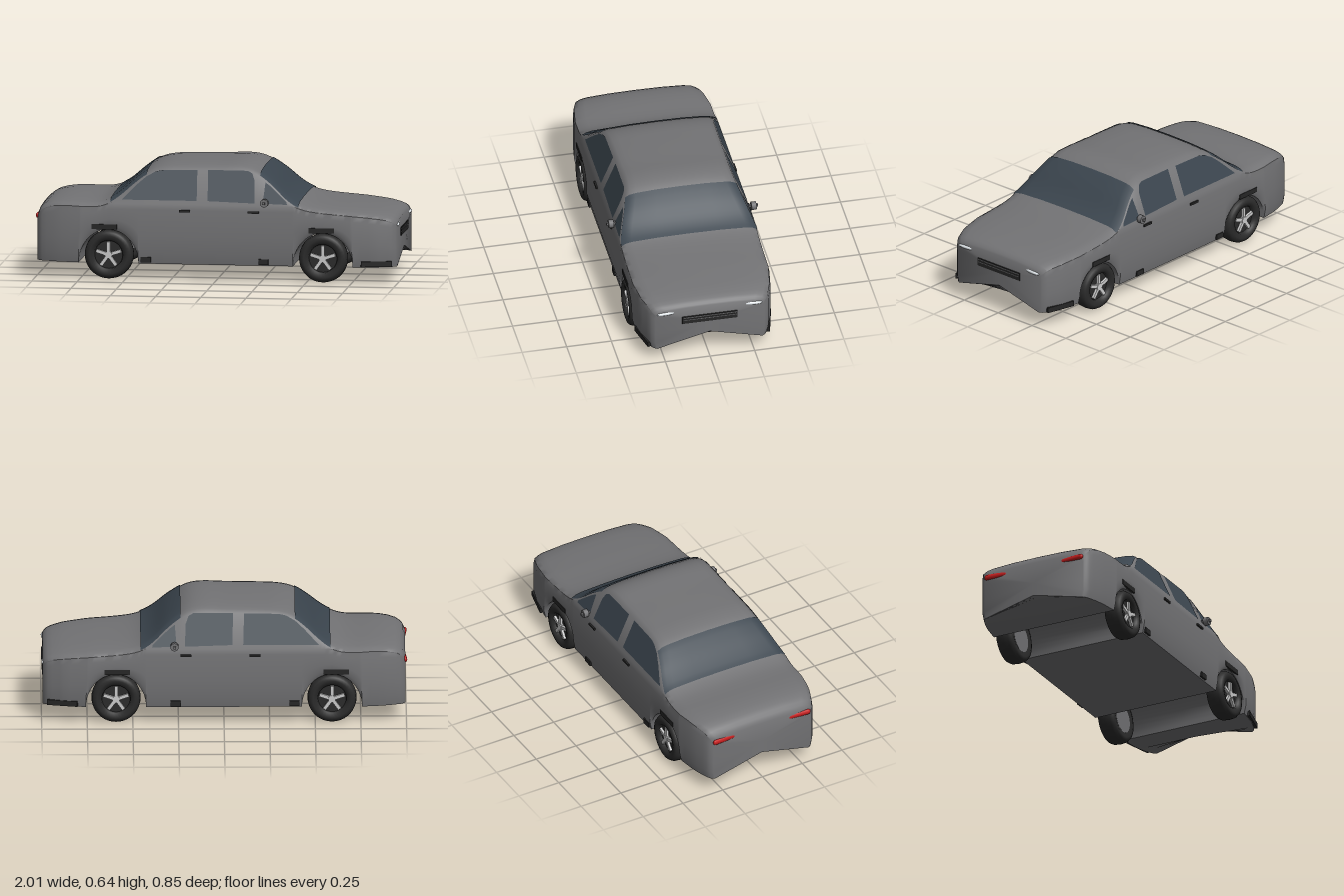
import * as THREE from 'three';
import { toCreasedNormals } from 'three/addons/utils/BufferGeometryUtils.js';

const mat = (color, side = THREE.FrontSide) => new THREE.MeshStandardMaterial({ color, side });
const paint = mat(0x737375), glass = mat(0x3b454e, THREE.DoubleSide), black = mat(0x262626);
const rubber = mat(0x2b2b2b), metal = mat(0xcccccc), red = mat(0xc41c1c), lamp = mat(0xe8eef2);

const WHEEL_X = 0.592, ARCH_R = 0.165, FLOOR = 0.09, BELT = 0.42, LEAN = 0.43;

// Roofline height and half width along the car: [x, value]
const TOP = [[-0.994, 0.36], [-0.98, 0.39], [-0.94, 0.418], [-0.85, 0.432], [-0.66, 0.432], [-0.58, 0.455],
  [-0.52, 0.495], [-0.45, 0.555], [-0.38, 0.604], [-0.3, 0.626], [-0.2, 0.632], [0, 0.636], [0.13, 0.639],
  [0.21, 0.62], [0.3, 0.56], [0.39, 0.48], [0.46, 0.44], [0.55, 0.42], [0.75, 0.402], [0.88, 0.388],
  [0.95, 0.374], [0.98, 0.36], [0.994, 0.343]];
const WIDTH = [[-0.994, 0.305], [-0.975, 0.33], [-0.88, 0.365], [-0.75, 0.386], [0.75, 0.386],
  [0.88, 0.365], [0.975, 0.33], [0.994, 0.305]];

// Smooth interpolation through a list of points
function curve(pts, x, smooth) {
  let i = 0;
  while (i < pts.length - 2 && x > pts[i + 1][0]) i++;
  const slope = (a, b) => (pts[b][1] - pts[a][1]) / (pts[b][0] - pts[a][0]);
  const last = pts.length - 1, h = pts[i + 1][0] - pts[i][0], t = (x - pts[i][0]) / h;
  if (!smooth) return pts[i][1] + slope(i, i + 1) * h * t;
  const m0 = slope(Math.max(i - 1, 0), i + 1) * h, m1 = slope(i, Math.min(i + 2, last)) * h;
  const t2 = t * t, t3 = t2 * t;
  return (2 * t3 - 3 * t2 + 1) * pts[i][1] + (t3 - 2 * t2 + t) * m0 + (3 * t2 - 2 * t3) * pts[i + 1][1] + (t3 - t2) * m1;
}

// Half of a cross-section as [z, y], from floor centre round to roof centre
function halfSection(x) {
  const top = curve(TOP, x, true), w = curve(WIDTH, x, false);
  const d = (Math.abs(x) - WHEEL_X) / ARCH_R;
  const base = FLOOR + (Math.abs(d) < 1 ? 0.185 * Math.sqrt(1 - d * d) : 0);
  const ramp = 0.075 * Math.max(0, (Math.abs(x) - 0.9) / 0.094);
  const waist = Math.min(0.39, top - 0.06), edge = top - 0.03;
  const lean = w * 0.985 - LEAN * Math.max(0, edge - BELT);
  return [[0, base + ramp], [w * 0.97, base], [w, base + (waist - base) * 0.2], [w, (base + waist) / 2], [w, waist],
    [w * 0.985, Math.min(BELT, top - 0.035)], [lean, edge], [lean - 0.025, top - 0.016],
    [lean - 0.06, top - 0.009], [lean * 0.45, top - 0.002], [0, top]];
}

const mirrorRing = (half) => half.concat(half.slice(0, -1).reverse().map(([z, y]) => [-z, y]));

// Skin a list of {x, pts} cross-sections; optional end caps
function loft(rings, capped) {
  const pos = [], idx = [], n = rings[0].pts.length;
  for (const { x, pts } of rings) for (const [z, y] of pts) pos.push(x, y, z);
  for (let i = 0; i < rings.length - 1; i++) for (let j = 0; j < n - 1; j++) {
    const a = i * n + j, b = a + n;
    idx.push(a, b, b + 1, a, b + 1, a + 1);
  }
  if (capped) [0, rings.length - 1].forEach((r, end) => {
    const c = pos.length / 3, s = r * n;
    pos.push(rings[r].x, 0.24, 0);
    for (let j = 0; j < n - 1; j++) end ? idx.push(c, s + j + 1, s + j) : idx.push(c, s + j, s + j + 1);
  });
  const g = new THREE.BufferGeometry();
  g.setAttribute('position', new THREE.Float32BufferAttribute(pos, 3));
  g.setIndex(idx);
  return toCreasedNormals(g, 0.9);
}

function add(parent, name, geo, material, x = 0, y = 0, z = 0) {
  const m = new THREE.Mesh(geo, material);
  m.name = name;
  m.position.set(x, y, z);
  parent.add(m);
  return m;
}

function bodyShell() {
  const xs = [-0.994, -0.988, -0.98, -0.965, -0.94, -0.9, -0.85, -0.8, 0.8, 0.84, 0.88, 0.9, 0.94, 0.965, 0.98, 0.988, 0.994];
  for (let i = 0; i <= 34; i++) xs.push(-0.42 + i * 0.0247);
  // stations bunch up at the steep ends of the wheel arches
  for (const c of [-WHEEL_X, WHEEL_X]) for (let i = 0; i <= 24; i++) xs.push(c - ARCH_R * Math.cos(i * Math.PI / 24));
  xs.sort((a, b) => a - b);
  return loft(xs.map((x) => ({ x, pts: mirrorRing(halfSection(x)) })), true);
}

// Front or rear screen: the upper skin of the body, lifted slightly
function screen(x0, x1) {
  const rings = [];
  for (let i = 0; i <= 12; i++) {
    const x = x0 + (x1 - x0) * i / 12;
    const half = halfSection(x).slice(6).map(([z, y]) => [z, y + 0.004]);
    rings.push({ x: x + Math.sign(x) * 0.003, pts: mirrorRing(half) });
  }
  return loft(rings, false);
}

// Flat pane leaned onto the cabin side
function sideWindow(points, side) {
  const g = new THREE.ShapeGeometry(new THREE.Shape(points.map(([x, y]) => new THREE.Vector2(x, y))));
  const p = g.attributes.position;
  for (let i = 0; i < p.count; i++) p.setZ(i, side * (0.3835 - LEAN * (p.getY(i) - BELT)));
  g.computeVertexNormals();
  return g;
}

function makeWheel() {
  const wheel = new THREE.Group();
  const profile = [[0.078, -0.045], [0.105, -0.052], [0.122, -0.046], [0.132, -0.03], [0.135, 0],
    [0.132, 0.03], [0.122, 0.046], [0.105, 0.052], [0.08, 0.045], [0.076, 0.02]];
  const tyre = new THREE.LatheGeometry(profile.map(([r, y]) => new THREE.Vector2(r, y)), 36);
  tyre.rotateX(Math.PI / 2);
  add(wheel, 'tyre', tyre, mat(0x2b2b2b, THREE.DoubleSide));
  const disc = (r, h) => new THREE.CylinderGeometry(r, r, h, 28).rotateX(Math.PI / 2);
  add(wheel, 'rimWell', disc(0.079, 0.03), rubber, 0, 0, 0.01);
  add(wheel, 'rimBack', disc(0.079, 0.04), paint, 0, 0, -0.026);
  add(wheel, 'hub', disc(0.02, 0.02), metal, 0, 0, 0.036);
  for (let i = 0; i < 5; i++) {
    const spoke = new THREE.BoxGeometry(0.019, 0.06, 0.014).translate(0, 0.042, 0.036);
    add(wheel, 'spoke', spoke.rotateZ(i * Math.PI * 0.4), metal);
  }
  return wheel;
}

export function createModel() {
  const car = new THREE.Group();
  car.name = 'sedan';
  add(car, 'body', bodyShell(), paint);
  add(car, 'windscreen', screen(0.235, 0.455), glass);
  add(car, 'rearScreen', screen(-0.58, -0.385), glass);

  const panes = {
    rearWindow: [[-0.52, 0.442], [-0.44, 0.522], [-0.39, 0.565], [-0.34, 0.592], [-0.3, 0.6], [-0.11, 0.603], [-0.105, 0.442]],
    frontWindow: [[-0.045, 0.442], [-0.05, 0.605], [0.17, 0.604], [0.195, 0.59], [0.21, 0.55], [0.215, 0.434]],
    quarterWindow: [[0.26, 0.434], [0.27, 0.545], [0.3, 0.525], [0.39, 0.445], [0.395, 0.43]],
  };

  for (const s of [1, -1]) {
    for (const [name, pts] of Object.entries(panes)) add(car, name, sideWindow(pts, s), glass);

    // Wheels
    for (const x of [-WHEEL_X, WHEEL_X]) {
      const wheel = makeWheel();
      wheel.name = x > 0 ? 'frontWheel' : 'rearWheel';
      wheel.position.set(x, 0.135, s * 0.337);
      if (s < 0) wheel.rotation.y = Math.PI;
      car.add(wheel);
    }

    // Black side trim
    for (const x of [-0.17, 0.21]) add(car, 'doorHandle', new THREE.BoxGeometry(0.06, 0.012, 0.014), black, x, 0.386, s * 0.388);
    for (const x of [-0.615, 0.585]) add(car, 'archTrim', new THREE.BoxGeometry(0.14, 0.028, 0.03), black, x, 0.291, s * 0.374);
    for (const x of [-0.385, 0.265]) add(car, 'sillPad', new THREE.BoxGeometry(0.055, 0.03, 0.03), black, x, 0.112, s * 0.372);
    const lip = add(car, 'bumperLip', new THREE.BoxGeometry(0.17, 0.03, 0.02), black, 0.885, 0.108, s * 0.353);
    lip.rotation.y = s * 0.24;

    // Door mirror
    add(car, 'mirrorArm', new THREE.BoxGeometry(0.014, 0.014, 0.07), paint, 0.27, 0.44, s * 0.39);
    const head = new THREE.CylinderGeometry(0.023, 0.023, 0.028, 10).rotateX(Math.PI / 2);
    add(car, 'mirrorHead', head, paint, 0.272, 0.44, s * 0.4);

    // Lights
    const headlight = add(car, 'headlight', new THREE.SphereGeometry(1, 20, 12), lamp, 0.988, 0.318, s * 0.237);
    headlight.scale.set(0.012, 0.011, 0.06);
    headlight.rotation.y = s * 0.1;
    const tail = new THREE.CapsuleGeometry(0.016, 0.11, 6, 12).rotateX(Math.PI / 2).scale(0.7, 1, 1);
    add(car, 'tailLight', tail, red, -0.989, 0.335, s * 0.235).rotation.y = -s * 0.08;
  }

  // Grille
  add(car, 'grille', new THREE.BoxGeometry(0.01, 0.046, 0.31), black, 0.993, 0.262, 0);
  for (const y of [0.262, 0.277]) add(car, 'grilleBar', new THREE.BoxGeometry(0.01, 0.004, 0.3), paint, 0.995, y, 0);
  return car;
}
